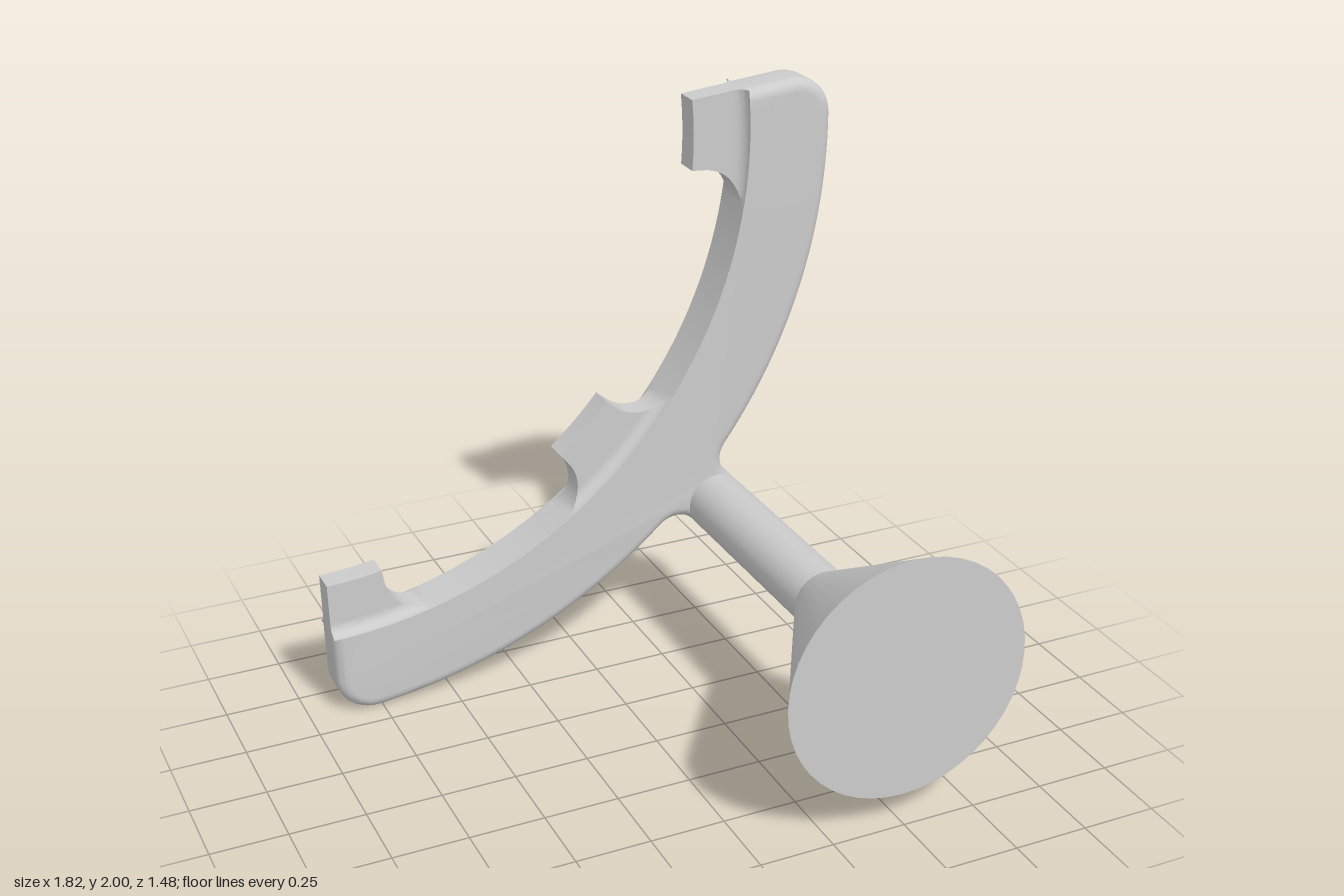
import * as THREE from 'three';
import { toCreasedNormals } from 'three/addons/utils/BufferGeometryUtils.js';

const rad = THREE.MathUtils.degToRad;
const INNER = 1.533, OUTER = 1.837;        // arc radii
const A0 = rad(-89), A1 = rad(5.6);        // arc ends
const ZMID = -0.657, HALF = 0.082, BEVEL = 0.04;
const CORNER = 0.13;                       // rounded outer corners
const BOSS = { r: 1.939, a: rad(-42.55), radius: 0.103, fillet: 0.09 };

const polar = (r, a) => new THREE.Vector2(r * Math.cos(a), r * Math.sin(a));

// Outline of the bracket, inset by d everywhere except along the inner edge
function outline(d) {
  const pts = [];
  const arc = (c, r, from, to, n) => {
    for (let i = 0; i <= n; i++) pts.push(polar(r, from + (to - from) * i / n).add(c));
  };
  const origin = new THREE.Vector2();
  const g = Math.asin(CORNER / (OUTER - CORNER));
  const e = Math.asin(d / INNER);
  const f = BOSS.fillet, F = OUTER + f, s = BOSS.radius + f;
  const phi = Math.acos((F * F + BOSS.r ** 2 - s * s) / (2 * F * BOSS.r));
  const alpha = Math.acos((F * F + s * s - BOSS.r ** 2) / (2 * F * s));
  const f0 = BOSS.a - phi, f1 = BOSS.a + phi, step = 0.01;

  arc(polar(OUTER - CORNER, A0 + g), CORNER - d, A0 - Math.PI / 2, A0 + g, 10);
  arc(origin, OUTER - d, A0 + g + step, f0 - step, 28);
  arc(polar(F, f0), f + d, f0 + Math.PI, f0 + Math.PI - alpha, 10);
  arc(polar(BOSS.r, BOSS.a), BOSS.radius - d, f0 - alpha + 0.1, f1 + alpha - 0.1, 20);
  arc(polar(F, f1), f + d, f1 + Math.PI + alpha, f1 + Math.PI, 10);
  arc(origin, OUTER - d, f1 + step, A1 - g - step, 28);
  arc(polar(OUTER - CORNER, A1 - g), CORNER - d, A1 - g, A1 + Math.PI / 2, 10);
  arc(origin, INNER, A1 - e, A0 + e, 64);
  return pts;
}

// Stack of outlines with rounded front and back edges, closed by two caps
function bracketGeometry() {
  const layers = [], n = 6;
  for (let i = 0; i <= n; i++) {
    const t = (i / n) * Math.PI / 2;
    layers.push({ d: BEVEL * (1 - Math.sin(t)), z: -HALF + BEVEL * (1 - Math.cos(t)) });
  }
  for (let i = n; i >= 0; i--) layers.push({ d: layers[i].d, z: -layers[i].z });

  const rings = layers.map(l => outline(l.d));
  const count = rings[0].length, last = layers.length - 1;
  const pos = [], index = [];
  rings.forEach((ring, k) => ring.forEach(p => pos.push(p.x, p.y, layers[k].z)));
  for (let k = 0; k < last; k++) {
    for (let i = 0; i < count; i++) {
      const j = (i + 1) % count;
      const a = k * count + i, b = k * count + j;
      index.push(a, b, b + count, a, b + count, a + count);
    }
  }
  for (const [a, b, c] of THREE.ShapeUtils.triangulateShape(rings[0], [])) {
    index.push(a, c, b);
    index.push(a + last * count, b + last * count, c + last * count);
  }
  const geo = new THREE.BufferGeometry();
  geo.setAttribute('position', new THREE.Float32BufferAttribute(pos, 3));
  geo.setIndex(index);
  return toCreasedNormals(geo, rad(35));
}

// Concave quarter-round: how far a side flares at radius r, for fillet size f
const flare = (r, f) => {
  const h = Math.min(f, Math.max(0, r - (INNER - f)));
  return f - Math.sqrt(f * f - h * h);
};

// Tab on the inner edge: a box bent along the arc, flaring into the bracket
function tabGeometry(from, to, flareFrom, flareTo) {
  const TIP = 1.347, SIDE = 0.14, FACE = 0.039, rows = 18;
  const geo = new THREE.BoxGeometry(1, 1, 1, 16, rows, 1);
  const p = geo.attributes.position;
  for (let i = 0; i < p.count; i++) {
    const row = Math.round((p.getY(i) + 0.5) * rows);
    const r = row === 0 ? TIP
      : INNER - SIDE + SIDE * Math.sin((row - 1) / (rows - 1) * Math.PI / 2);
    const w = flare(r, SIDE) / r;
    const lo = from - flareFrom * w, hi = to + flareTo * w;
    const q = polar(r, hi + (lo - hi) * (p.getX(i) + 0.5));
    p.setXYZ(i, q.x, q.y, Math.sign(p.getZ(i)) * (0.043 + flare(r, FACE)));
  }
  return toCreasedNormals(geo, rad(35));
}

export function createModel() {
  const model = new THREE.Group();
  model.name = 'wallHook';
  const material = new THREE.MeshStandardMaterial({ color: 0xcccccc });
  const add = (parent, name, geo) => {
    const mesh = new THREE.Mesh(geo, material);
    mesh.name = name;
    parent.add(mesh);
    return mesh;
  };

  // Curved bracket with three gripping tabs
  const holder = new THREE.Group();
  holder.name = 'curvedHolder';
  holder.position.set(-0.933, 1.837, ZMID);
  model.add(holder);
  add(holder, 'bracket', bracketGeometry());
  add(holder, 'lowerTab', tabGeometry(A0, rad(-80.9), 0, 1));
  add(holder, 'middleTab', tabGeometry(rad(-50.4), rad(-40.2), 1, 1));
  add(holder, 'upperTab', tabGeometry(rad(-4.5), A1, 1, 0));

  // Peg running forward from the bracket, ending in a flared cone
  const peg = new THREE.Group();
  peg.name = 'peg';
  peg.position.set(0.495, 0.526, 0);
  model.add(peg);
  const rod = (name, rBack, rFront, z0, z1, open) => {
    const geo = new THREE.CylinderGeometry(rFront, rBack, z1 - z0, 48, 1, open);
    geo.rotateX(Math.PI / 2);
    add(peg, name, geo).position.z = (z0 + z1) / 2;
  };
  rod('shaft', BOSS.radius, BOSS.radius, ZMID, 0.2, true);
  rod('flaredEnd', BOSS.radius, 0.411, 0.2, 0.737, false);
  return model;
}
